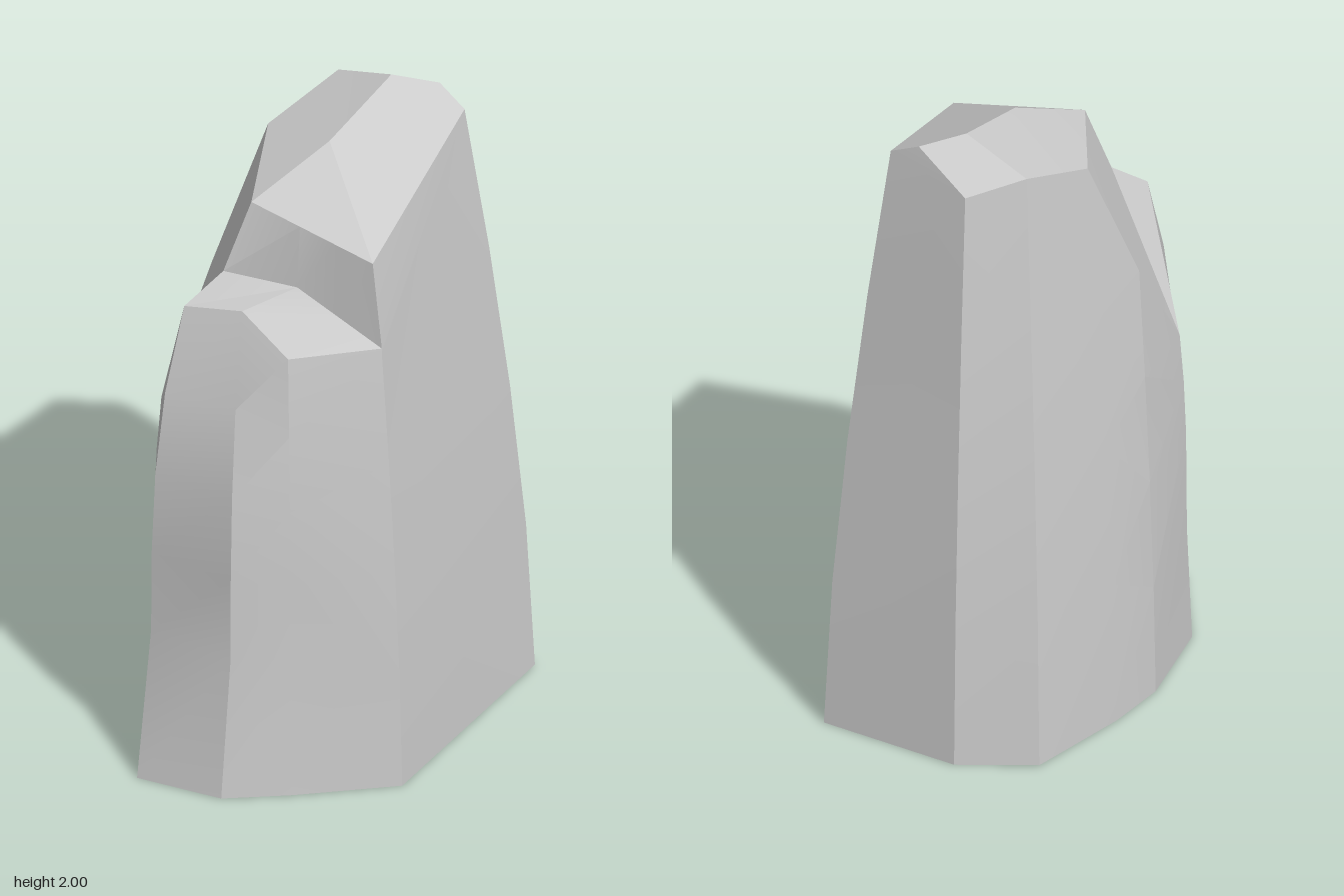
import * as THREE from 'three';
import { toCreasedNormals } from 'three/addons/utils/BufferGeometryUtils.js';

const point = (x, y, z) => new THREE.Vector3(x, y, z);

// Points that the facets of the top share
const peak = point(0.36, 2, -0.02);
const ridge = point(0.05, 1.92, -0.01);
const brow = point(0.45, 1.97, 0.09);
const backRim = point(0.13, 1.84, -0.3);
const notch = point(-0.28, 1.58, -0.15);
const notchRim = point(-0.21, 1.8, -0.1);
const frontRim = point(-0.17, 1.72, 0.32);
const ledgeFront = point(-0.178, 1.45, 0.36);
const ledgeSide = point(-0.21, 1.57, 0.07);

// One upright edge: a foot, an optional waist, a wall that leans in more towards
// its top, then the inner side of the ledge, the rim and the cap
function edge({ foot, waist = foot, wall, inner = wall, rim = inner, cap = ridge }) {
  const power = waist === foot ? 1.5 : 3;
  const rows = [0, 0.25, 0.5, 0.75, 1].map((t) => {
    const row = waist.clone().lerp(wall, t ** power);
    row.y = THREE.MathUtils.lerp(waist.y, wall.y, t);
    return row;
  });
  return [point(0, 0, 0), foot, ...rows, inner, rim, cap, peak];
}

// Skin neighbouring edges with triangles, leaving out collapsed ones
function skin(columns) {
  const corners = [];
  const triangle = (a, b, c) => {
    if (new THREE.Triangle(a, b, c).getArea() > 1e-6) corners.push(a, b, c);
  };
  columns.forEach((near, i) => {
    const far = columns[(i + 1) % columns.length];
    for (let s = 0; s < near.length - 1; s++) {
      triangle(near[s], far[s], far[s + 1]);
      triangle(near[s], far[s + 1], near[s + 1]);
    }
  });
  return toCreasedNormals(new THREE.BufferGeometry().setFromPoints(corners), 0.24);
}

export function createModel() {
  // Edges run counterclockwise from the front corner beside the ledge
  const columns = [
    // front face
    edge({ foot: point(-0.19, 0, 0.445), wall: point(-0.18, 1.43, 0.362), inner: ledgeFront, rim: frontRim }),
    edge({ foot: point(0.61, 0, 0.32), wall: point(0.44, 1.92, 0.19), cap: brow }),
    // +x side
    edge({ foot: point(0.63, 0, -0.13), wall: point(0.51, 1.88, -0.1), cap: brow }),
    edge({ foot: point(0.51, 0, -0.35), wall: point(0.39, 1.925, -0.24), cap: peak }),
    // back face
    edge({ foot: point(0.18, 0, -0.425), wall: backRim }),
    edge({ foot: point(-0.02, 0, -0.445), wall: point(-0.04, 1.42, -0.378), rim: backRim }),
    // slanted chip behind the ledge
    edge({ foot: point(-0.34, 0, -0.388), waist: point(-0.31, 0.4, -0.387),
      wall: point(-0.28, 1.07, -0.38), inner: notch, rim: notchRim }),
    // -x side, ending in the ledge
    edge({ foot: point(-0.63, 0, -0.2), waist: point(-0.53, 0.45, -0.225),
      wall: point(-0.39, 1.49, -0.21), inner: notch, rim: notchRim }),
    edge({ foot: point(-0.575, 0, 0.07), waist: point(-0.53, 0.45, 0.07),
      wall: point(-0.345, 1.515, -0.03), inner: ledgeSide, rim: notchRim.clone().lerp(frontRim, 0.4) }),
    edge({ foot: point(-0.43, 0, 0.225), waist: point(-0.42, 0.45, 0.205),
      wall: point(-0.37, 1.43, 0.16), inner: ledgeSide.clone().lerp(ledgeFront, 0.5),
      rim: notchRim.clone().lerp(frontRim, 0.7) }),
  ];

  const stone = new THREE.Mesh(skin(columns), new THREE.MeshStandardMaterial({ color: 0xcccccc }));
  stone.name = 'stone';
  const group = new THREE.Group();
  group.name = 'standingStone';
  group.add(stone);
  return group;
}
